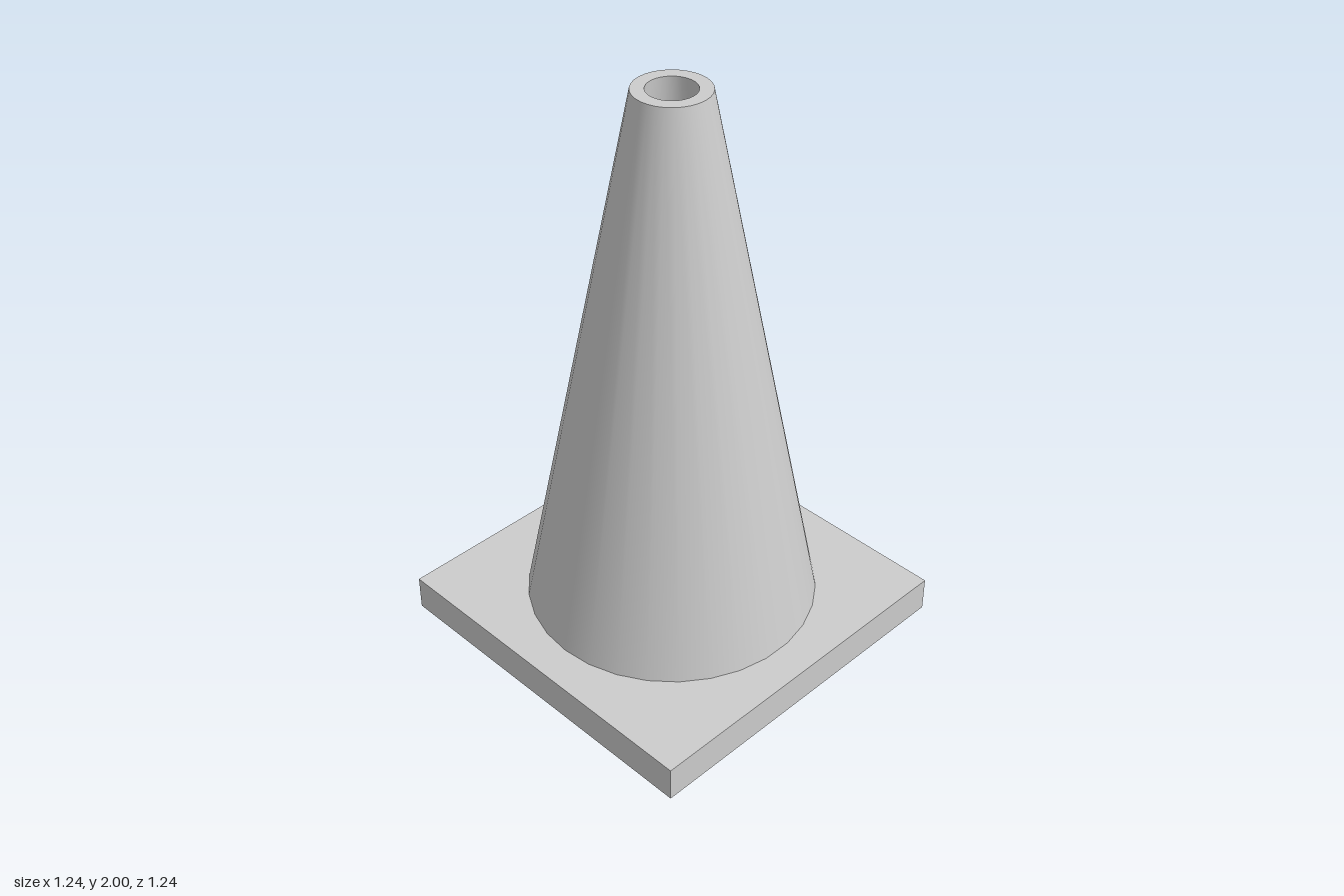
import * as THREE from 'three';
import { mergeGeometries } from 'three/addons/utils/BufferGeometryUtils.js';

const SIDES = 30;
const PLATE = 1.243, PLATE_H = 0.124, TOP = 2;
const OUTER_LOW = 0.497, OUTER_TOP = 0.124;
const INNER_LOW = 0.26, INNER_TOP = 0.08;

// Surface of revolution with vertices on the x axis
function turned(points) {
  return new THREE.LatheGeometry(points.map(([r, y]) => new THREE.Vector2(r, y)), SIDES, Math.PI / 2);
}

// Flat square with a round hole, facing up or down
function holedSquare(holeRadius, y, facing) {
  const h = PLATE / 2;
  const shape = new THREE.Shape([[-h, -h], [h, -h], [h, h], [-h, h]].map(([x, z]) => new THREE.Vector2(x, z)));
  shape.holes.push(new THREE.Path().absarc(0, 0, holeRadius, 0, Math.PI * 2, true));
  return new THREE.ShapeGeometry(shape, SIDES / 2).rotateX(-facing * Math.PI / 2).translate(0, y, 0);
}

export function createModel() {
  const group = new THREE.Group();
  const grey = new THREE.MeshStandardMaterial({ color: 0xcccccc });
  grey.name = 'light grey';

  const add = (name, geometry) => {
    const mesh = new THREE.Mesh(geometry, grey);
    mesh.name = name;
    group.add(mesh);
  };

  // Square base plate: four walls, top and underside
  const walls = new THREE.CylinderGeometry(PLATE / Math.SQRT2, PLATE / Math.SQRT2, PLATE_H, 4, 1, true, Math.PI / 4)
    .translate(0, PLATE_H / 2, 0).toNonIndexed();
  walls.computeVertexNormals();
  add('basePlate', mergeGeometries([
    walls,
    holedSquare(OUTER_LOW, PLATE_H, 1).toNonIndexed(),
    holedSquare(INNER_LOW, 0, -1).toNonIndexed(),
  ]));

  // Tapered body, flat rim and the tapered bore right through it
  add('coneBody', turned([[OUTER_LOW, PLATE_H], [OUTER_TOP, TOP]]));
  add('topRim', turned([[OUTER_TOP, TOP], [INNER_TOP, TOP]]));
  add('innerBore', turned([[INNER_TOP, TOP], [INNER_LOW, 0]]));

  return group;
}
